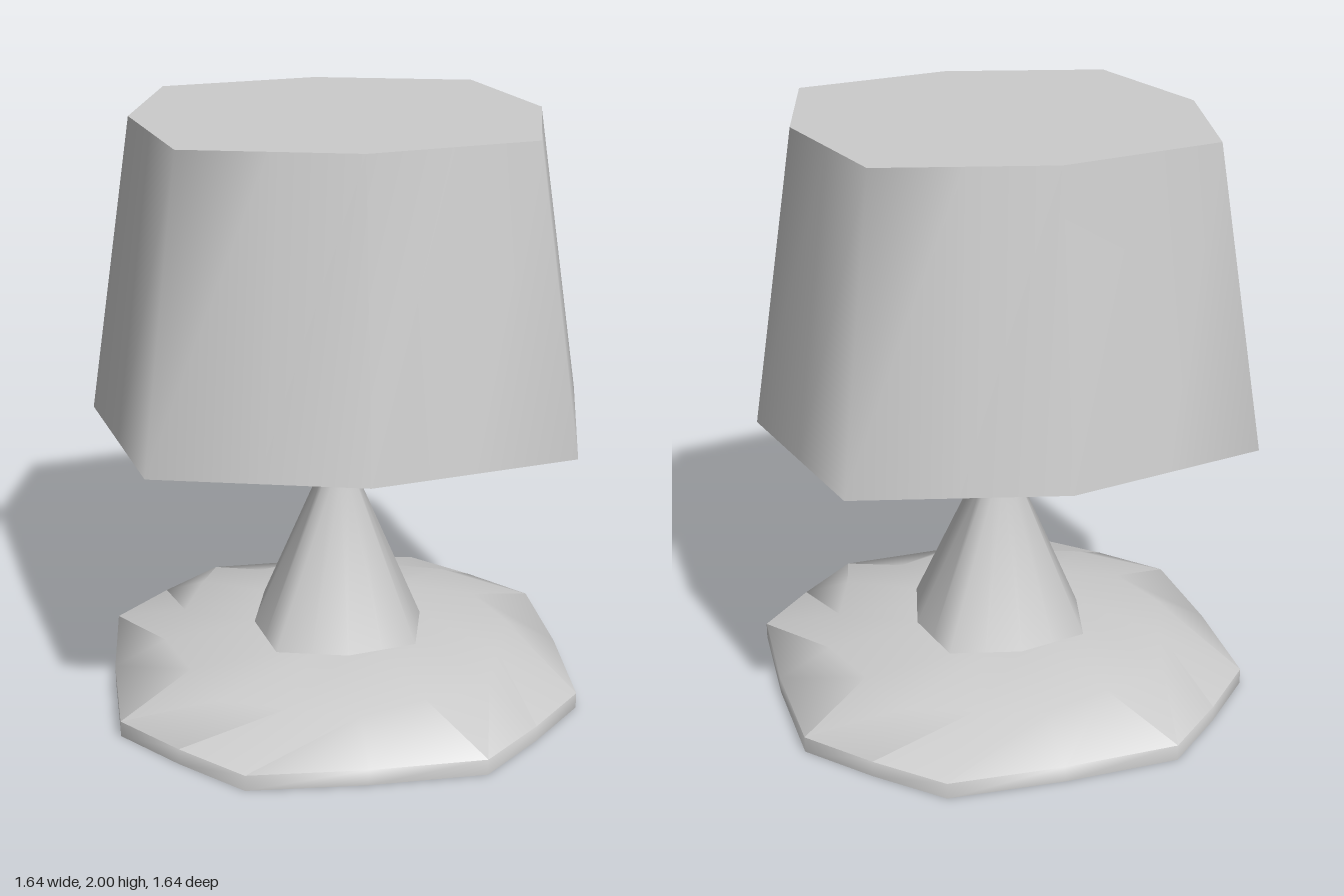
import * as THREE from 'three';
import { toCreasedNormals } from 'three/addons/utils/BufferGeometryUtils.js';

const material = new THREE.MeshStandardMaterial({ color: 0xcccccc });

// One 16-point ring: axis points at radius a, diagonal points at (d, d), and points
// (mx, mz) between them, which by default lie on the straight octagon edge.
function ring(y, a, d = a * 0.81, mx = (a + d) / 2, mz = d / 2) {
  const points = [];
  const quarter = [[a, 0], [mx, mz], [d, d], [mz, mx]];
  for (let q = 0; q < 4; q++) {
    for (const [x, z] of quarter) {
      let px = x, pz = z;
      for (let k = 0; k < q; k++) [px, pz] = [-pz, px];
      points.push([px, y, pz]);
    }
  }
  return points;
}

// Skin a sequence of rings; a ring of radius 0 closes the shape to a point.
function loft(name, rings) {
  const positions = [];
  const isPoint = (r) => r[0][0] === 0;
  for (let i = 0; i < rings.length - 1; i++) {
    const low = rings[i], high = rings[i + 1];
    for (let j = 0; j < 16; j++) {
      const k = (j + 1) % 16;
      if (!isPoint(low)) positions.push(...low[j], ...high[j], ...low[k]);
      if (!isPoint(high)) positions.push(...low[k], ...high[j], ...high[k]);
    }
  }
  let geometry = new THREE.BufferGeometry();
  geometry.setAttribute('position', new THREE.Float32BufferAttribute(positions, 3));
  geometry = toCreasedNormals(geometry, THREE.MathUtils.degToRad(70));
  const mesh = new THREE.Mesh(geometry, material);
  mesh.name = name;
  return mesh;
}

export function createModel() {
  const group = new THREE.Group();
  group.name = 'tableLamp';

  // Round foot with a short upright rim and a sloping top
  group.add(loft('base', [
    ring(0, 0),
    ring(0, 0.79, 0.59, 0.775, 0.39),
    ring(0.055, 0.79, 0.59, 0.775, 0.39),
    ring(0.147, 0.61, 0.455),
    ring(0.2, 0.29, 0.24),
    ring(0.2, 0),
  ]));

  // Flared stem, tapering up into the shade
  group.add(loft('stem', [
    ring(0.2, 0.295, 0.24),
    ring(0.73, 0.073),
    ring(1.03, 0.057),
    ring(1.97, 0.025),
  ]));

  // Hollow octagonal shade, closed at the top and open below
  group.add(loft('shade', [
    ring(1.97, 0),
    ring(1.97, 0.65, 0.525),
    ring(1.03, 0.795, 0.643),
    ring(1.03, 0.82, 0.665),
    ring(2, 0.668, 0.542),
    ring(2, 0),
  ]));

  return group;
}
